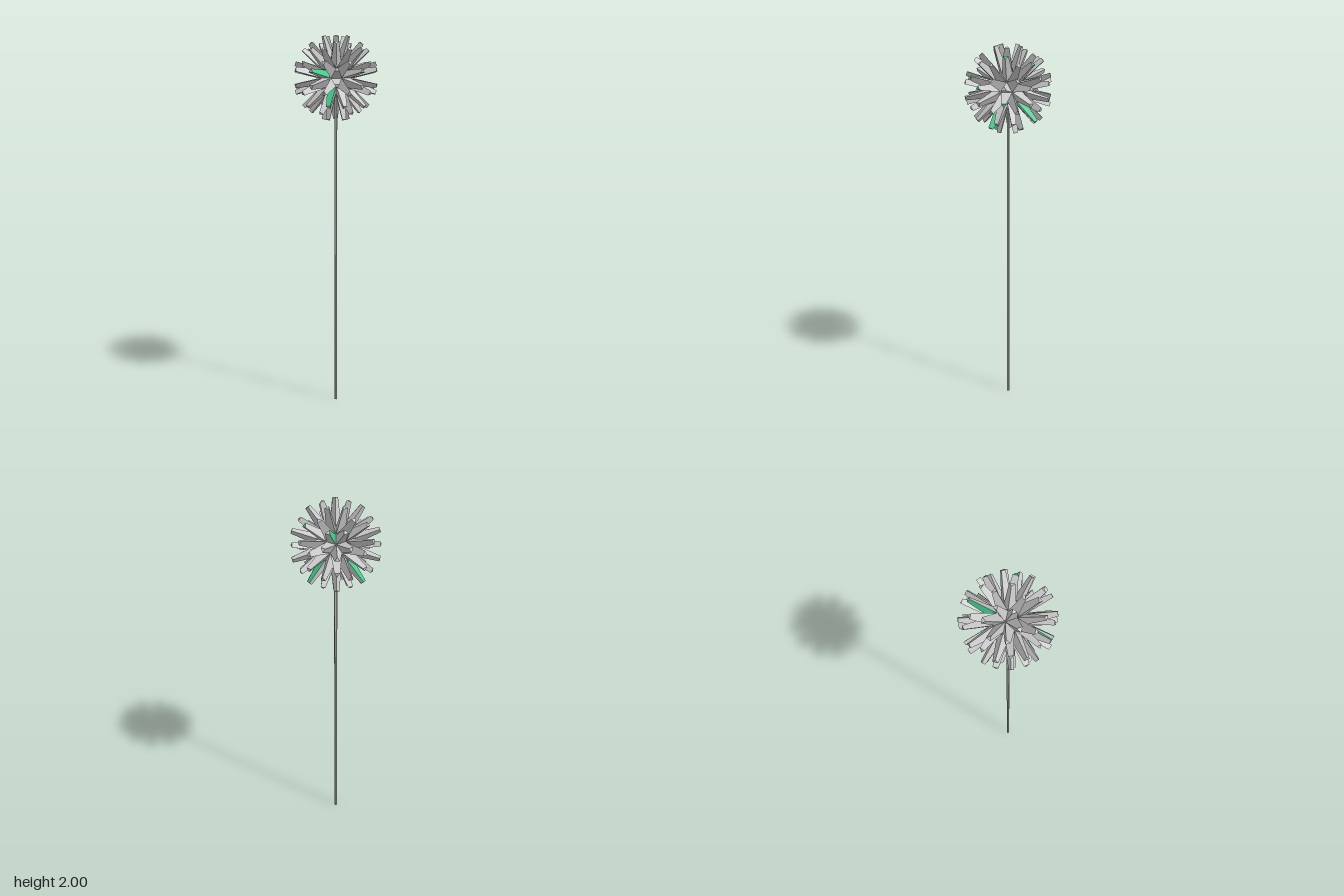
import * as THREE from 'three';

const CENTRE_Y = 1.787, CORE = 0.09, REACH = 0.222, TAPER = 0.47;

// points (relative to the ball centre) whose nearest spike face is green
const ACCENTS = [
  [-0.12, 0.03, 0.1], [0.165, 0.137, -0.05], [0.11, 0.17, 0.08],
  [0.05, 0.12, -0.13], [0.08, 0.06, 0.18], [0.15, -0.05, 0.11],
  [0.11, -0.09, -0.045], [0.05, -0.15, 0.1], [-0.02, -0.18, 0.03],
  [-0.12, -0.1, 0.1], [-0.12, 0, -0.13], [-0.1, -0.1, -0.1],
].map((p) => new THREE.Vector3(...p));

// facets of one tapered triangular spike growing out of a core triangle
function spikeFacets(a, b, c) {
  const mid = new THREE.Vector3().add(a).add(b).add(c).divideScalar(3);
  const tip = mid.clone().setLength(REACH);
  const base = [a, b, c];
  const cap = base.map((v) => v.clone().sub(mid).multiplyScalar(TAPER).add(tip));
  const facets = [cap];
  for (let i = 0; i < 3; i++) {
    const j = (i + 1) % 3;
    facets.push([base[i], base[j], cap[j], cap[i]]);
  }
  return facets;
}

// flat-shaded mesh from a list of convex facets
function facetMesh(name, facets, color) {
  const points = [];
  for (const f of facets)
    for (let i = 1; i < f.length - 1; i++) points.push(f[0], f[i], f[i + 1]);
  const geometry = new THREE.BufferGeometry().setFromPoints(points);
  geometry.computeVertexNormals();
  const mesh = new THREE.Mesh(geometry, new THREE.MeshStandardMaterial({ color, flatShading: true }));
  mesh.name = name;
  return mesh;
}

export function createModel() {
  const model = new THREE.Group();
  model.name = 'spikyFlower';

  // core: subdivided icosahedron turned so that one corner points up
  const core = new THREE.IcosahedronGeometry(CORE, 1);
  core.rotateZ(-Math.atan(2 / (1 + Math.sqrt(5))));
  const pos = core.attributes.position;
  const corner = (i) => new THREE.Vector3().fromBufferAttribute(pos, i);

  // every core triangle becomes a spike
  const facets = [];
  for (let i = 0; i < pos.count; i += 3)
    facets.push(...spikeFacets(corner(i), corner(i + 1), corner(i + 2)));

  // pick the green facets
  const centre = (f) => f.reduce((s, v) => s.add(v), new THREE.Vector3()).divideScalar(f.length);
  const centres = facets.map(centre);
  const green = new Set(ACCENTS.map((p) => {
    let best = 0;
    centres.forEach((c, i) => {
      if (c.distanceTo(p) < centres[best].distanceTo(p)) best = i;
    });
    return best;
  }));

  const head = new THREE.Group();
  head.name = 'flowerHead';
  head.position.y = CENTRE_Y;
  head.add(facetMesh('spikes', facets.filter((f, i) => !green.has(i)), 0xcccccc));
  head.add(facetMesh('greenSpikeFaces', facets.filter((f, i) => green.has(i)), 0x44cc8c));
  model.add(head);

  // thin straight stem
  const height = CENTRE_Y - CORE * 0.8;
  const stem = new THREE.Mesh(
    new THREE.CylinderGeometry(0.008, 0.008, height, 6),
    new THREE.MeshStandardMaterial({ color: 0xcccccc, flatShading: true }),
  );
  stem.name = 'stem';
  stem.position.y = height / 2;
  model.add(stem);
  return model;
}
